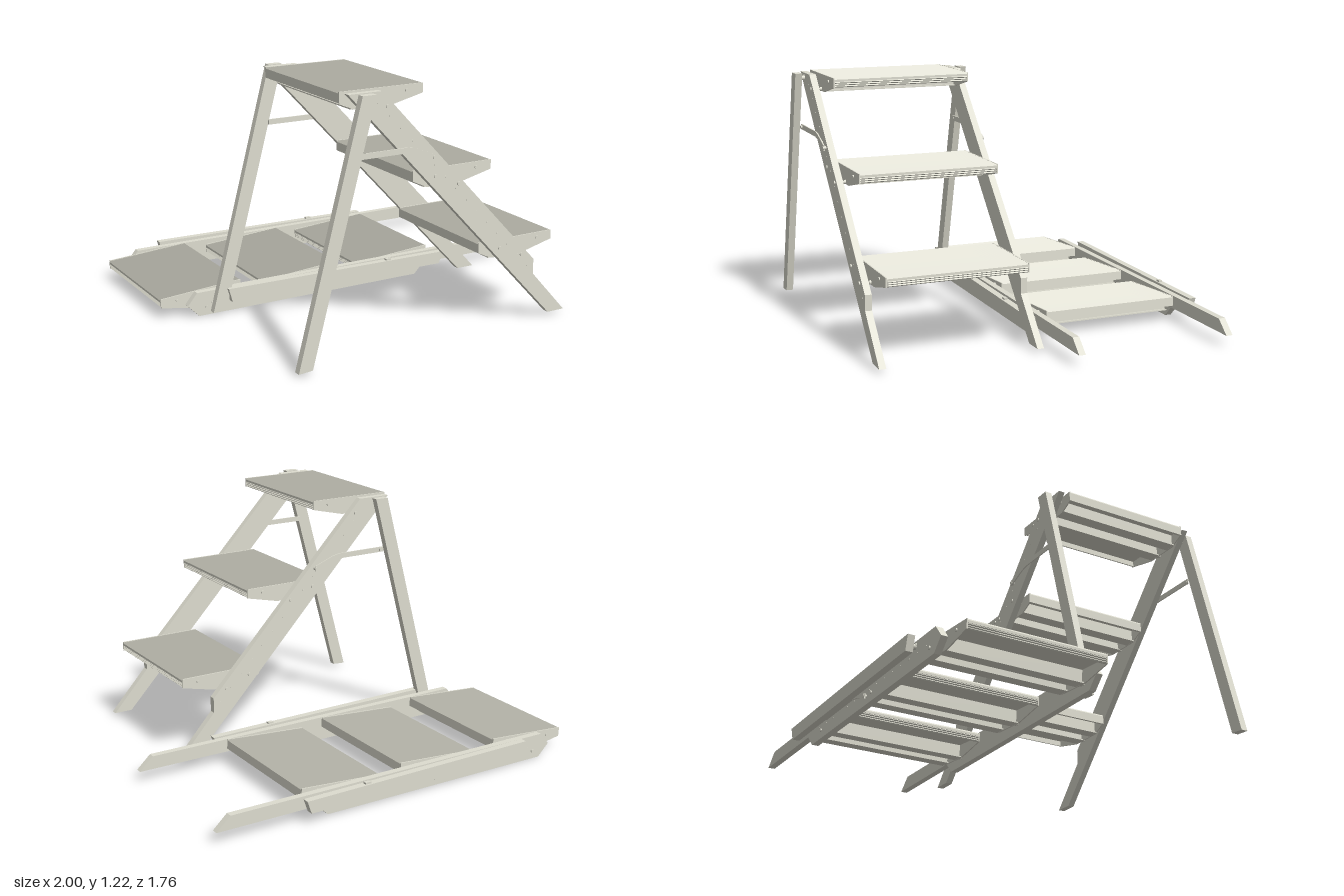
import * as THREE from 'three';

const metal = new THREE.MeshStandardMaterial({ color: 0xdddccf });
metal.name = 'light warm grey metal';

function named(geo, name, parent) {
  const m = new THREE.Mesh(geo, metal);
  m.name = name;
  parent.add(m);
  return m;
}

// flat plate cut from an outline in x/y, filling z0..z1
function plate(points, z0, z1, name, parent) {
  const shape = new THREE.Shape(points.map(p => new THREE.Vector2(p[0], p[1])));
  const geo = new THREE.ExtrudeGeometry(shape, { depth: z1 - z0, bevelEnabled: false });
  geo.translate(0, 0, z0);
  return named(geo, name, parent);
}

// round pin along z
function pin(x, y, z0, z1, r, name, parent) {
  const geo = new THREE.CylinderGeometry(r, r, z1 - z0, 12);
  geo.rotateX(Math.PI / 2);
  return named(geo.translate(x, y, (z0 + z1) / 2), name, parent);
}

// bar with constant height following a bent path in x/y
function bentBar(path, h, z0, z1, name, parent) {
  const up = path.map(p => [p[0], p[1] + h / 2]);
  const low = path.map(p => [p[0], p[1] - h / 2]).reverse();
  return plate([...low, ...up], z0, z1, name, parent);
}

const DEPTH = 0.43, HALF = 0.347;

// tread: rear edge at x = 0, nose at x = DEPTH, top at y = 0, centred on z
function makeTread() {
  const g = new THREE.Group();
  g.name = 'tread';
  const z = HALF - 0.004;
  // walking surface with fine, steep grip ridges
  const n = 60, w = DEPTH / n, top = [[0, -0.018], [DEPTH, -0.018]];
  for (let i = n; i > 0; i--) top.push([i * w, -0.0068], [(i - 0.5) * w, 0]);
  top.push([0, -0.0068]);
  plate(top, -z, z, 'ridgedTop', g);
  // nose lip with lengthwise ridges
  const nose = [[0.418, -0.008], [0.418, -0.045]];
  for (let i = 0; i < 4; i++) nose.push([0.425, -0.045 + i * 0.00925], [DEPTH, -0.0404 + i * 0.00925]);
  nose.push([0.425, -0.008]);
  plate(nose, -z, z, 'noseLip', g);
  // rear lip and underside beams: [x0, x1, bottom]
  for (const [a, b, y] of [[0, 0.012, -0.05], [0.075, 0.11, -0.083], [0.205, 0.24, -0.083]]) {
    plate([[a, y], [b, y], [b, -0.012], [a, -0.012]], -z, z, 'beam', g);
  }
  for (const [a, b] of [[0.06, 0.125], [0.19, 0.255]]) {
    plate([[a, -0.084], [b, -0.084], [b, -0.078], [a, -0.078]], -z, z, 'beamFlange', g);
  }
  // shaped end plates with bolts
  const profile = [[0, -0.05], [0.075, -0.085], [0.26, -0.085], [DEPTH, -0.045], [DEPTH, 0], [0, 0]];
  for (const s of [-1, 1]) {
    const span = (a, b) => (s > 0 ? [a, b] : [-b, -a]);
    plate(profile, ...span(HALF - 0.006, HALF), 'endPlate', g);
    pin(0.345, -0.025, ...span(HALF, HALF + 0.006), 0.008, 'noseBolt', g);
    for (const [x, y] of [[0.085, -0.022], [0.213, -0.074]]) {
      pin(x, y, ...span(HALF, 0.403), 0.006, 'hingePin', g);
      pin(x, y, ...span(HALF, HALF + 0.01), 0.01, 'pinCollar', g);
      pin(x, y, ...span(0.4, 0.406), 0.009, 'pinHead', g);
    }
  }
  return g;
}

// call build(z0, z1 helper) for both sides of a ladder centred on zc
function bothSides(zc, build) {
  for (const s of [-1, 1]) build((a, b) => (s > 0 ? [zc + a, zc + b] : [zc - b, zc - a]));
}

function standingLadder() {
  const g = new THREE.Group();
  g.name = 'standingLadder';
  const zc = 0.425;
  const stringer = [[0.65, 0.02], [0.745, 0.02], [0.55, 0.235], [0.55, 0.31], [-0.31, 1.215], [-0.48, 1.215]];
  const leg = [[-0.76, 0.015], [-0.69, 0.02], [-0.37, 1.215], [-0.44, 1.215]];
  const brace = [[-0.45, 0.938], [-0.18, 0.938], [-0.14, 0.93], [-0.035, 0.89]];
  bothSides(zc, span => {
    plate(stringer, ...span(0.367, 0.4), 'stringer', g);
    plate(leg, ...span(0.42, 0.455), 'rearLeg', g);
    bentBar(brace, 0.026, ...span(0.407, 0.413), 'foldingBrace', g);
    pin(-0.04, 0.89, ...span(0.4, 0.417), 0.009, 'braceBolt', g);
    pin(-0.43, 0.938, ...span(0.405, 0.421), 0.009, 'braceBolt', g);
    pin(-0.405, 1.19, ...span(0.39, 0.422), 0.012, 'legPivot', g);
    // rivets down the stringer
    for (let i = 0; i < 15; i++) {
      const t = i / 14;
      pin(-0.33 + 0.84 * t, 1.165 - 0.88 * t, ...span(0.399, 0.402), 0.004, 'rivet', g);
    }
  });
  for (const [x, y] of [[-0.495, 1.22], [-0.11, 0.82], [0.262, 0.42]]) {
    const t = makeTread();
    t.position.set(x, y, zc);
    g.add(t);
  }
  return g;
}

function foldedLadder() {
  const g = new THREE.Group();
  g.name = 'foldedLadder';
  const zc = -0.43;
  const stringer = [[-0.88, 0.06], [-0.82, 0], [0.43, 0], [0.485, 0.055], [1, 0.055], [0.93, 0.12], [-0.83, 0.12]];
  const leg = [[-0.665, 0.06], [0.55, 0.055], [0.572, 0.118], [-0.685, 0.131]];
  const brace = [[-0.18, 0.037], [-0.1, 0.066], [-0.04, 0.078], [0.25, 0.078]];
  bothSides(zc, span => {
    plate(stringer, ...span(0.367, 0.4), 'stringer', g);
    plate(leg, ...span(0.42, 0.455), 'rearLeg', g);
    bentBar(brace, 0.026, ...span(0.407, 0.413), 'foldingBrace', g);
    pin(-0.17, 0.04, ...span(0.4, 0.417), 0.009, 'braceBolt', g);
    pin(0.24, 0.078, ...span(0.405, 0.421), 0.009, 'braceBolt', g);
    plate([[0.225, 0.118], [0.255, 0.118], [0.255, 0.13], [0.225, 0.13]], ...span(0.428, 0.446), 'latch', g);
    pin(-0.65, 0.095, ...span(0.39, 0.422), 0.012, 'legPivot', g);
    for (let i = 0; i < 15; i++) {
      pin(-0.75 + 1.1 * i / 14, 0.06, ...span(0.399, 0.402), 0.004, 'rivet', g);
    }
  });
  // treads face the other way, noses dipped slightly
  for (const x of [-0.571, -0.014, 0.535]) {
    const t = makeTread();
    t.rotation.set(0, Math.PI, -0.07);
    t.position.set(x, 0.13, zc);
    g.add(t);
  }
  return g;
}

export function createModel() {
  const model = new THREE.Group();
  model.name = 'foldingStepLadders';
  model.add(standingLadder(), foldedLadder());
  return model;
}
